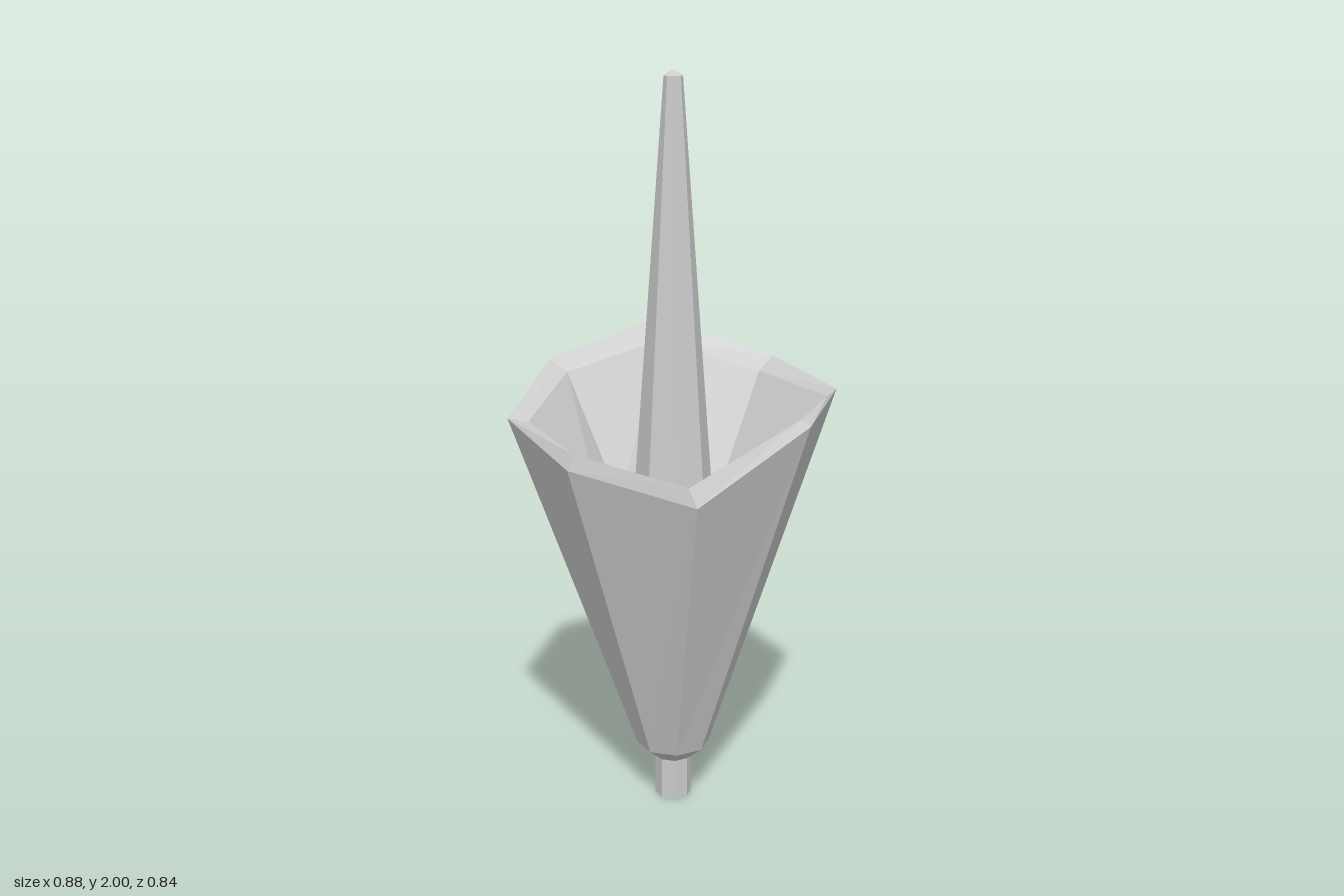
import * as THREE from 'three';

const SIDES = 8;
const CENTRE_Z = 0.02;

// Regular octagon, starting at +x and turning towards +z
function ring(radius, y) {
  return Array.from({ length: SIDES }, (_, i) => {
    const a = (i / SIDES) * Math.PI * 2;
    return [radius * Math.cos(a), y, CENTRE_Z + radius * Math.sin(a)];
  });
}

// Flat-shaded skin through a series of rings
function loft(rings) {
  const pos = [];
  for (let r = 0; r < rings.length - 1; r++) {
    const a = rings[r], b = rings[r + 1];
    for (let i = 0; i < SIDES; i++) {
      const j = (i + 1) % SIDES;
      pos.push(...a[i], ...b[i], ...a[j], ...a[j], ...b[i], ...b[j]);
    }
  }
  const geo = new THREE.BufferGeometry();
  geo.setAttribute('position', new THREE.Float32BufferAttribute(pos, 3));
  geo.computeVertexNormals();
  return geo;
}

export function createModel() {
  const group = new THREE.Group();
  const material = new THREE.MeshStandardMaterial({ color: 0xcccccc, flatShading: true });
  const add = (name, rings) => {
    const mesh = new THREE.Mesh(loft(rings), material);
    mesh.name = name;
    group.add(mesh);
  };

  // Uneven rim of the flower: outer edge and the inner edge of its lip
  const outerRim = [
    [0.44, 1.16, 0.02], [0.315, 1.14, 0.335], [0.02, 0.96, 0.42], [-0.295, 1.03, 0.29],
    [-0.44, 1.10, 0.02], [-0.315, 1.19, -0.29], [0, 1.275, -0.42], [0.315, 1.185, -0.29],
  ];
  const innerRim = [
    [0.415, 1.14, 0.02], [0.295, 1.15, 0.30], [0, 1.01, 0.405], [-0.275, 1.07, 0.29],
    [-0.385, 1.09, 0.02], [-0.27, 1.16, -0.25], [0, 1.22, -0.365], [0.27, 1.15, -0.25],
  ];

  // Short stalk, closed underneath
  add('stem', [ring(0, 0), ring(0.05, 0), ring(0.05, 0.115)]);

  // Cup: flared base, outer wall, lip, inner wall and floor
  add('flowerCup', [
    ring(0.05, 0.115), ring(0.1, 0.155), outerRim, innerRim, ring(0.19, 0.82), ring(0, 0.82),
  ]);

  // Tall tapering spike with a blunt tip
  add('spike', [ring(0.11, 0.82), ring(0.025, 1.985), ring(0, 2)]);

  return group;
}
